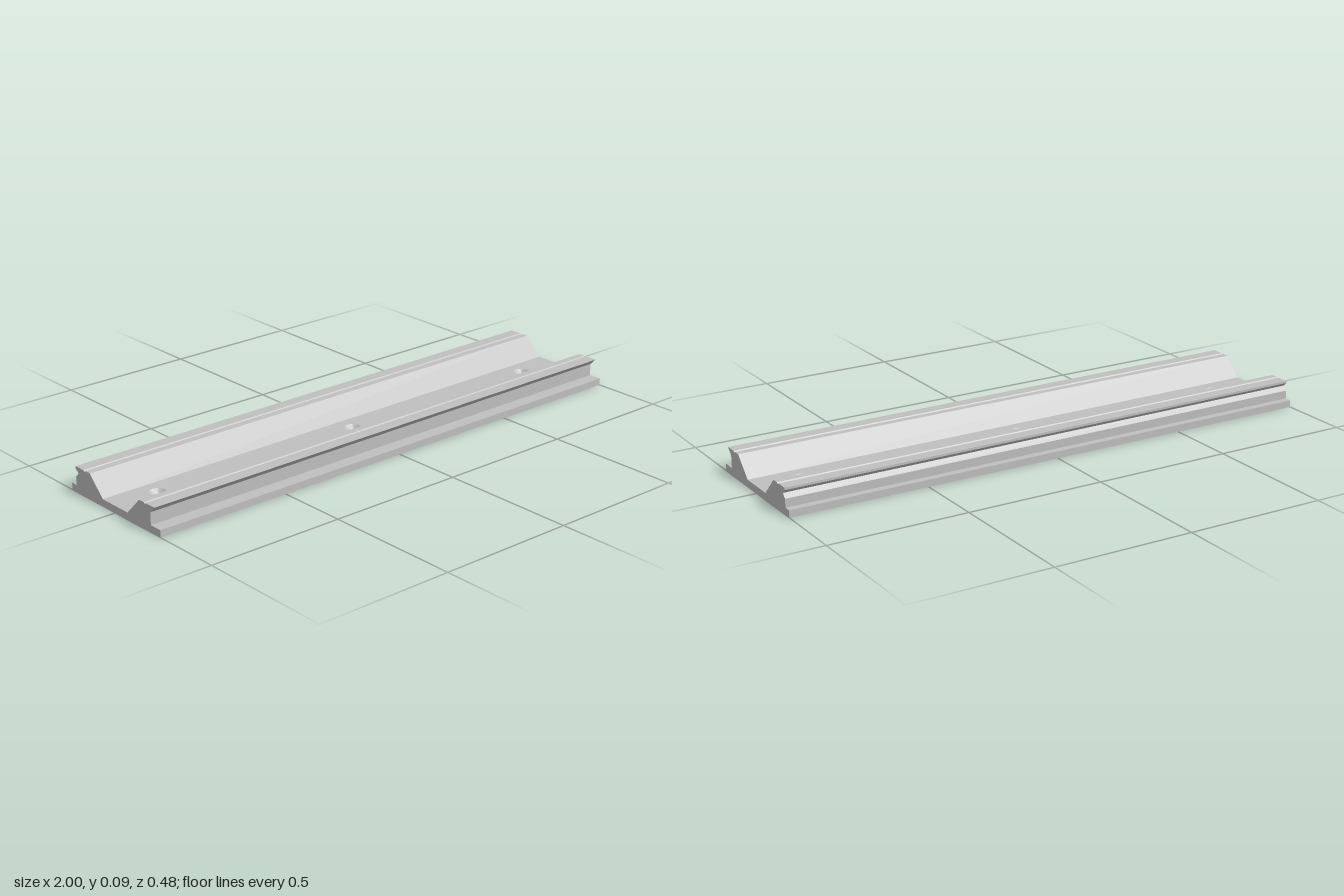
import * as THREE from 'three';
import { toCreasedNormals } from 'three/addons/utils/BufferGeometryUtils.js';

const LENGTH = 2, HALF_WIDTH = 0.242, FLOOR = 0.025, TOP = 0.092;
const HOLE_R = 0.03, SHAFT_R = 0.016;

export function createModel() {
  const group = new THREE.Group();
  const metal = new THREE.MeshStandardMaterial({ color: 0xbfbfbf });
  metal.name = 'grey metal';

  const add = (name, geometry) => {
    const mesh = new THREE.Mesh(geometry, metal);
    mesh.name = name;
    group.add(mesh);
    return mesh;
  };

  // Base plate, pierced by three screw holes
  const holeXs = [-0.835, 0, 0.835];
  const plate = new THREE.Shape([
    [-1, -HALF_WIDTH], [1, -HALF_WIDTH], [1, HALF_WIDTH], [-1, HALF_WIDTH],
  ].map(([x, y]) => new THREE.Vector2(x, y)));
  for (const x of holeXs) {
    plate.holes.push(new THREE.Path().absarc(x, 0, HOLE_R, 0, Math.PI * 2, true));
  }
  add('basePlate', new THREE.ExtrudeGeometry(plate, {
    depth: FLOOR, bevelEnabled: false, curveSegments: 16,
  }).rotateX(-Math.PI / 2));

  // Countersunk linings: cone, shaft and flush underside ring
  const lining = toCreasedNormals(new THREE.LatheGeometry([
    [HOLE_R, FLOOR], [SHAFT_R, 0.011], [SHAFT_R, 0], [HOLE_R, 0],
  ].map(([r, y]) => new THREE.Vector2(r, y)), 32), 0.5);
  for (const x of holeXs) add('screwHole', lining).position.x = x;

  // Rails: cross-sections in (z, y), run along the whole length
  const addRail = (name, side, outer) => {
    const inner = [
      [0.172, TOP], [0.169, 0.0885], [0.163, 0.0885], [0.160, TOP], // top groove
      [0.135, TOP], [0.068, FLOOR], // sloping channel wall
    ];
    const shape = new THREE.Shape(
      [...outer, ...inner].map(([z, y]) => new THREE.Vector2(z * side, y)));
    add(name, new THREE.ExtrudeGeometry(shape, { depth: LENGTH, bevelEnabled: false })
      .rotateY(-Math.PI / 2).translate(LENGTH / 2, 0, 0));
  };
  // Front rail has an overhanging lip
  addRail('frontRail', 1, [[0.193, FLOOR], [0.193, 0.069], [0.216, TOP]]);
  // Back rail has a V-shaped notch
  addRail('backRail', -1, [
    [0.216, FLOOR], [0.216, 0.055], [0.201, 0.07], [0.216, 0.084], [0.216, TOP],
  ]);

  return group;
}
